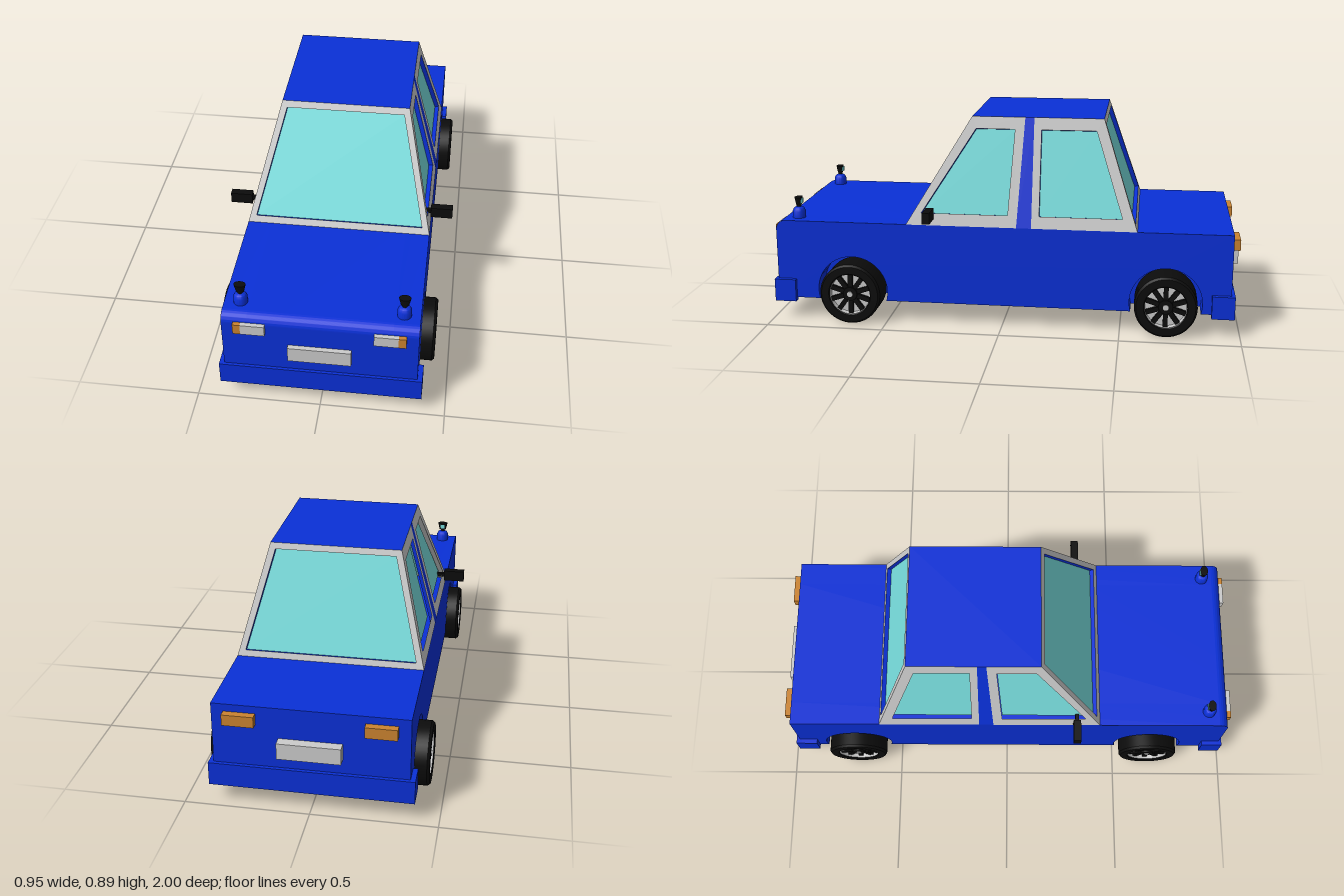
import * as THREE from 'three';
import { toCreasedNormals } from 'three/addons/utils/BufferGeometryUtils.js';

const mat = (color, side = THREE.FrontSide) => new THREE.MeshStandardMaterial({ color, side });
const blue = mat(0x0a30d8), black = mat(0x0c0c0c), orange = mat(0xcc8430);
const grey = mat(0xcccccc), greyThin = mat(0xcccccc, THREE.DoubleSide), glass = mat(0x78dede, THREE.DoubleSide);

const BELT = 0.435, ROOF = 0.885, HALF = 0.385;
const AXLES = [0.65, -0.69], WHEEL_Y = 0.131, ARCH = 0.152;

function add(parent, name, geometry, material, x = 0, y = 0, z = 0) {
  const mesh = new THREE.Mesh(geometry, material);
  mesh.name = name;
  mesh.position.set(x, y, z);
  parent.add(mesh);
  return mesh;
}

// Box given by its limits on each axis
function box(parent, name, material, x0, x1, y0, y1, z0, z1) {
  const g = new THREE.BoxGeometry(Math.abs(x1 - x0), y1 - y0, Math.abs(z1 - z0));
  return add(parent, name, g, material, (x0 + x1) / 2, (y0 + y1) / 2, (z0 + z1) / 2);
}

// Slice of the lower body: side profile in (z, y), spanning x0..x1
function bodySlice(parent, name, x0, x1, arches) {
  const s = new THREE.Shape();
  s.moveTo(-0.96, 0.09);
  if (arches) {
    const a = Math.asin((WHEEL_Y - 0.09) / ARCH);
    for (const z of [...AXLES].reverse()) {
      s.lineTo(z - ARCH * Math.cos(a), 0.09);
      s.absarc(z, WHEEL_Y, ARCH, Math.PI + a, -a, true);
    }
  }
  s.lineTo(0.98, 0.09);
  s.lineTo(0.98, BELT - 0.04);
  s.absarc(0.94, BELT - 0.04, 0.04, 0, Math.PI / 2, false);
  s.lineTo(-0.96, BELT);
  const g = new THREE.ExtrudeGeometry(s, { depth: x1 - x0, bevelEnabled: false, curveSegments: 20 });
  g.rotateY(-Math.PI / 2);
  add(parent, name, toCreasedNormals(g, 0.6), blue, x1);
}

// Sloping cabin wall; points are (u, y) along the wall, with a recessed pane in the hole
function cabinWall(parent, name, { x = 0, z = 0, yaw, run, outer, hole, flip = 1, material = grey }) {
  const tilt = Math.atan(run / (ROOF - BELT)), depth = 0.02;
  const pts = list => list.map(([u, y]) => new THREE.Vector2(u * flip, (y - BELT) / Math.cos(tilt)));
  const wall = new THREE.Group();
  wall.name = name;
  wall.position.set(x, BELT, z);
  wall.rotation.set(-tilt, yaw, 0, 'YXZ');
  const shape = new THREE.Shape(pts(outer));
  if (hole) {
    shape.holes.push(new THREE.Path(pts(hole)));
    add(wall, name + 'Glass', new THREE.ShapeGeometry(new THREE.Shape(pts(hole))), glass, 0, 0, -depth + 0.001);
  }
  const g = new THREE.ExtrudeGeometry(shape, { depth, bevelEnabled: false });
  add(wall, name + 'Frame', g, [material, blue], 0, 0, -depth);
  parent.add(wall);
}

function makeCabin() {
  const cabin = new THREE.Group();
  cabin.name = 'cabin';
  const outer = [[-HALF, BELT], [HALF, BELT], [0.268, ROOF], [-0.268, ROOF]];
  const hole = [[-0.352, 0.46], [0.352, 0.46], [0.247, 0.86], [-0.247, 0.86]];
  cabinWall(cabin, 'windshield', { z: 0.41, yaw: 0, run: 0.27, outer, hole });
  cabinWall(cabin, 'rearWindow', { z: -0.565, yaw: Math.PI, run: 0.15, outer, hole });
  for (const side of [1, -1]) {
    const base = { x: side * HALF, yaw: side * Math.PI / 2, run: 0.117, flip: -side };
    cabinWall(cabin, 'frontSideWindow', { ...base,
      outer: [[0.41, BELT], [-0.06, BELT], [-0.085, ROOF], [0.14, ROOF]],
      hole: [[0.345, 0.485], [-0.022, 0.485], [-0.043, 0.835], [0.122, 0.835]] });
    cabinWall(cabin, 'rearSideWindow', { ...base,
      outer: [[-0.123, BELT], [-0.565, BELT], [-0.415, ROOF], [-0.123, ROOF]],
      hole: [[-0.155, 0.485], [-0.502, 0.485], [-0.385, 0.835], [-0.155, 0.835]] });
    cabinWall(cabin, 'doorPillar', { ...base, material: blue,
      outer: [[-0.06, BELT], [-0.123, BELT], [-0.123, ROOF], [-0.085, ROOF]] });
  }
  box(cabin, 'roof', blue, -0.268, 0.268, ROOF - 0.02, ROOF, -0.415, 0.14);
  return cabin;
}

const lathe = (points, segments = 40) =>
  toCreasedNormals(new THREE.LatheGeometry(points.map(p => new THREE.Vector2(...p)), segments), 0.6);

// Wheel along +y from its inner face to its outer face
function makeWheel() {
  const wheel = new THREE.Group();
  wheel.name = 'wheel';
  add(wheel, 'tyre', lathe([[0, 0], [0.122, 0], [0.131, 0.01], [0.131, 0.13], [0.123, 0.14], [0.092, 0.14], [0.088, 0.136]]), black);
  add(wheel, 'rim', lathe([[0.088, 0.136], [0.086, 0.112], [0, 0.112]]), greyThin);
  add(wheel, 'hub', new THREE.CylinderGeometry(0.03, 0.034, 0.022, 24), black, 0, 0.122, 0);
  add(wheel, 'hubCap', new THREE.CylinderGeometry(0.012, 0.012, 0.006, 16), grey, 0, 0.134, 0);
  const count = 10;
  for (let i = 0; i < count; i++) {
    const spoke = new THREE.BoxGeometry(0.062, 0.014, 0.02);
    spoke.translate(0.056, 0.12, 0).rotateY((i / count) * Math.PI * 2);
    add(wheel, 'spoke', spoke, black);
  }
  return wheel;
}

// Small mirror standing on the front fender, its glass facing back
function makeFenderMirror() {
  const mirror = new THREE.Group();
  mirror.name = 'fenderMirror';
  add(mirror, 'mirrorBase', lathe([[0.028, 0], [0.028, 0.03], [0.022, 0.042], [0.012, 0.048], [0, 0.048]], 20), blue);
  add(mirror, 'mirrorNeck', new THREE.CylinderGeometry(0.01, 0.01, 0.02, 12), black, 0, 0.055, 0);
  const head = new THREE.CylinderGeometry(0.024, 0.016, 0.034, 20);
  head.scale(1, 1, 0.7);
  add(mirror, 'mirrorHead', head, black, 0, 0.073, 0);
  box(mirror, 'mirrorGlass', glass, -0.011, 0.011, 0.064, 0.084, -0.0175, -0.008);
  return mirror;
}

export function createModel() {
  const car = new THREE.Group();
  car.name = 'car';

  // Lower body, with wheel wells in the outer slices
  bodySlice(car, 'bodyCore', -0.285, 0.285, false);
  bodySlice(car, 'bodySideLeft', 0.285, HALF, true);
  bodySlice(car, 'bodySideRight', -HALF, -0.285, true);
  car.add(makeCabin());

  // Bumpers wrapping round the corners
  box(car, 'frontBumper', blue, -0.405, 0.405, 0.077, 0.175, 0.97, 0.992);
  box(car, 'rearBumper', blue, -0.405, 0.405, 0.077, 0.175, -0.975, -0.95);

  // Blank plates
  box(car, 'frontPlate', grey, -0.125, 0.125, 0.237, 0.305, 0.97, 1);
  box(car, 'rearPlate', grey, -0.125, 0.125, 0.237, 0.305, -1, -0.95);

  for (const s of [1, -1]) {
    box(car, 'frontBumperEnd', blue, s * 0.375, s * 0.405, 0.077, 0.175, 0.9, 0.97);
    box(car, 'rearBumperEnd', blue, s * 0.375, s * 0.405, 0.077, 0.175, -0.95, -0.88);
    box(car, 'headlight', grey, s * 0.212, s * 0.307, 0.358, 0.404, 0.95, 0.997);
    box(car, 'turnSignal', orange, s * 0.307, s * 0.337, 0.358, 0.404, 0.95, 0.997);
    box(car, 'tailLight', orange, s * 0.212, s * 0.337, 0.358, 0.404, -0.99, -0.95);

    // Door mirror on a short arm
    box(car, 'doorMirror', black, s * 0.383, s * 0.475, 0.463, 0.51, 0.29, 0.322);
    box(car, 'doorMirrorArm', black, s * 0.35, s * 0.385, 0.478, 0.494, 0.298, 0.314);

    const fenderMirror = makeFenderMirror();
    fenderMirror.position.set(s * 0.32, BELT, 0.895);
    car.add(fenderMirror);

    for (const z of AXLES) {
      const wheel = makeWheel();
      wheel.rotation.z = -s * Math.PI / 2;
      wheel.position.set(s * 0.302, WHEEL_Y, z);
      car.add(wheel);
    }
  }
  return car;
}
